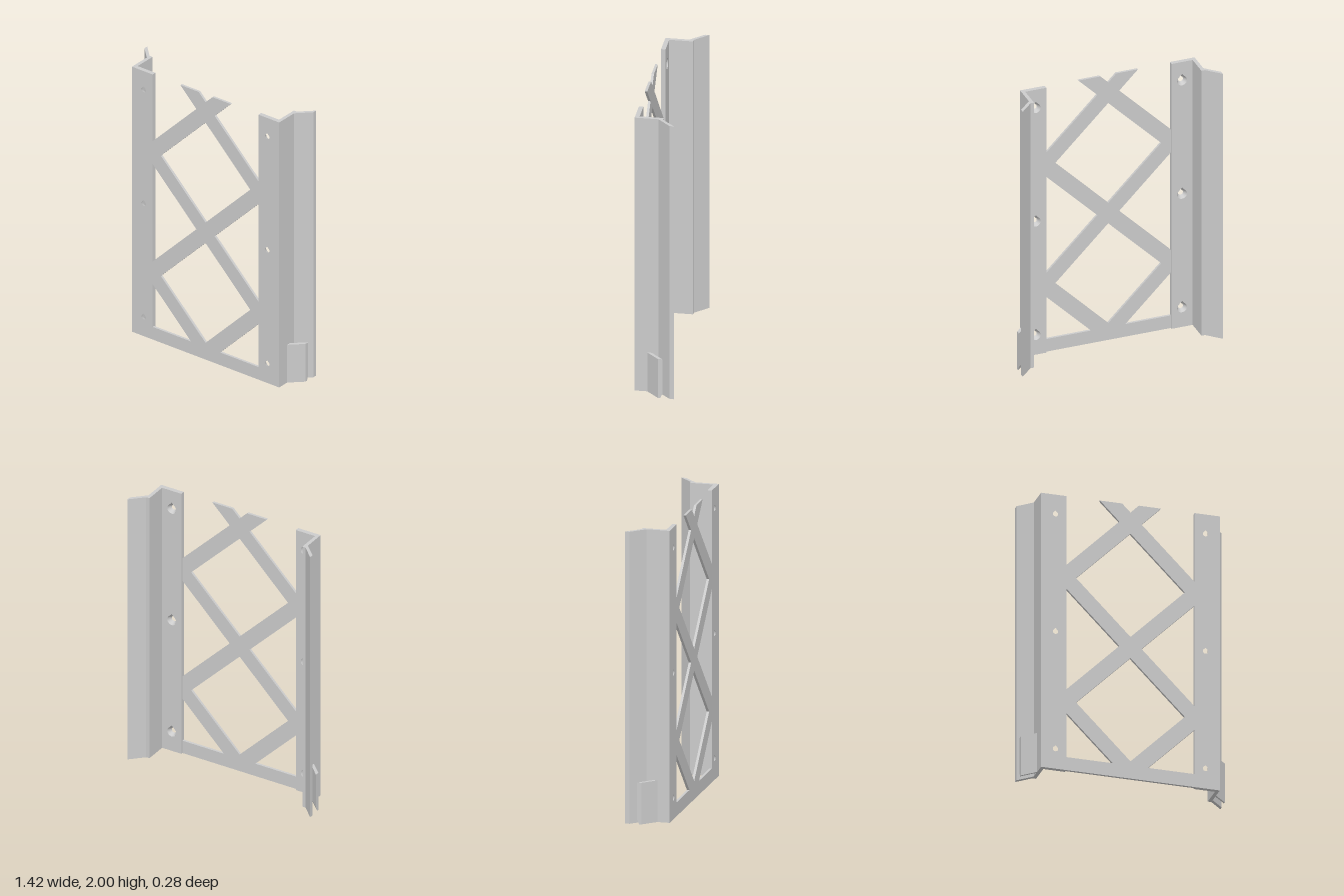
import * as THREE from 'three';
import { mergeGeometries } from 'three/addons/utils/BufferGeometryUtils.js';

const FRONT = 0.14, BACK = 0.11, HEIGHT = 2;
const vectors = (pts) => pts.map(([x, y]) => new THREE.Vector2(x, y));

// Extrude an [x, z] profile upwards along y
function extrudeUp(profile, height, steps = 1) {
  const shape = new THREE.Shape(vectors(profile.map(([x, z]) => [x, -z])));
  const g = new THREE.ExtrudeGeometry(shape, { depth: height, steps, bevelEnabled: false });
  return g.rotateX(-Math.PI / 2);
}

// Join a loop at the front to a matching loop at the back (counter-clockwise faces outwards)
function band(front, back) {
  const pos = [];
  front.forEach(([x, y], i) => {
    const j = (i + 1) % front.length;
    const a = [x, y, FRONT], b = [...front[j], FRONT];
    const c = [...back[j], BACK], d = [...back[i], BACK];
    pos.push(...a, ...d, ...c, ...a, ...c, ...b);
  });
  const g = new THREE.BufferGeometry();
  g.setAttribute('position', new THREE.Float32BufferAttribute(pos, 3));
  g.computeVertexNormals();
  return g;
}

// Teardrop hole with its point upwards
function teardrop(cx, cy, r) {
  const pts = [];
  for (let i = 0; i <= 18; i++) {
    const a = Math.PI * (0.75 + (1.5 * i) / 18);
    pts.push([cx + r * Math.cos(a), cy + r * Math.sin(a)]);
  }
  pts.push([cx, cy + r * Math.SQRT2]);
  return pts;
}

// Copy of a geometry with every triangle turned round
function reversed(geometry) {
  const g = geometry.index ? geometry.toNonIndexed() : geometry.clone();
  const p = g.attributes.position;
  const a = new THREE.Vector3(), b = new THREE.Vector3();
  for (let i = 0; i < p.count; i += 3) {
    a.fromBufferAttribute(p, i + 1);
    b.fromBufferAttribute(p, i + 2);
    p.setXYZ(i + 1, b.x, b.y, b.z);
    p.setXYZ(i + 2, a.x, a.y, a.z);
  }
  g.computeVertexNormals();
  return g;
}

// Copy of a geometry reflected in x
const mirrored = (geometry) => reversed(geometry.clone().scale(-1, 1, 1));

// Front strip with three countersunk screw holes, wider at the back
function stripGeometry() {
  const outline = [[0.445, 0], [0.595, 0], [0.595, HEIGHT], [0.445, HEIGHT]];
  const holes = (r) => [0.145, 1.002, 1.859].map((y) => teardrop(0.52, y, r));
  const small = holes(0.018), large = holes(0.035);
  const cap = (loops, z) => {
    const shape = new THREE.Shape(vectors(outline));
    shape.holes = loops.map((l) => new THREE.Path(vectors(l)));
    return new THREE.ShapeGeometry(shape).toNonIndexed().translate(0, 0, z);
  };
  const parts = [cap(small, FRONT), reversed(cap(large, BACK)), band(outline, outline)];
  small.forEach((loop, i) => parts.push(reversed(band(loop, large[i]))));
  parts.forEach((g) => g.deleteAttribute('uv'));
  return mergeGeometries(parts);
}

// Diagonal lattice with a bottom rail and an open top
function latticeGeometry() {
  const side = [
    [0.445, 0], [0.445, 0.095], [0.122, 0.095], [0.445, 0.418], [0.445, 0.589],
    [0.077, 0.957], [0.445, 1.325], [0.445, 1.497], [0.077, 1.865], [0.212, 2], [0.058, 2],
  ];
  const other = side.map(([x, y]) => [-x, y]).reverse();
  const shape = new THREE.Shape(vectors([...side, [0, 1.942], ...other]));
  const r = 0.377;
  for (const y of [0.503, 1.411]) {
    shape.holes.push(new THREE.Path(vectors([[0, y - r], [-r, y], [0, y + r], [r, y]])));
  }
  return new THREE.ExtrudeGeometry(shape, { depth: 0.017, bevelEnabled: false }).translate(0, 0, 0.123);
}

// Short angled clip, thinned at the bottom of its rear face
function clipGeometry() {
  const profile = [[0.62, 0.055], [0.707, -0.03], [0.707, -0.06], [0.62, 0.025]];
  const g = extrudeUp(profile, 0.285, 9);
  const p = g.attributes.position;
  for (let i = 0; i < p.count; i++) {
    const onRear = p.getX(i) + p.getZ(i) < 0.66;
    if (p.getY(i) < 0.01 && onRear) p.setZ(i, p.getZ(i) + 0.014);
  }
  g.computeVertexNormals();
  return g;
}

export function createModel() {
  const model = new THREE.Group();
  model.name = 'latticePanel';
  const grey = new THREE.MeshStandardMaterial({ color: 0xcbcbcb });
  grey.name = 'grey';

  const add = (name, geometry) => {
    const mesh = new THREE.Mesh(geometry, grey);
    mesh.name = name;
    model.add(mesh);
  };
  const addPair = (name, geometry) => {
    add(`left${name}`, geometry);
    add(`right${name}`, mirrored(geometry));
  };

  add('lattice', latticeGeometry());
  addPair('ScrewStrip', stripGeometry());

  // Side wall with its slanted rear flange
  addPair('SideWall', extrudeUp([
    [0.595, FRONT], [0.62, FRONT], [0.62, -0.02], [0.711, -0.11],
    [0.711, -0.14], [0.62, -0.05], [0.595, -0.05],
  ], HEIGHT));
  addPair('Clip', clipGeometry());

  return model;
}
